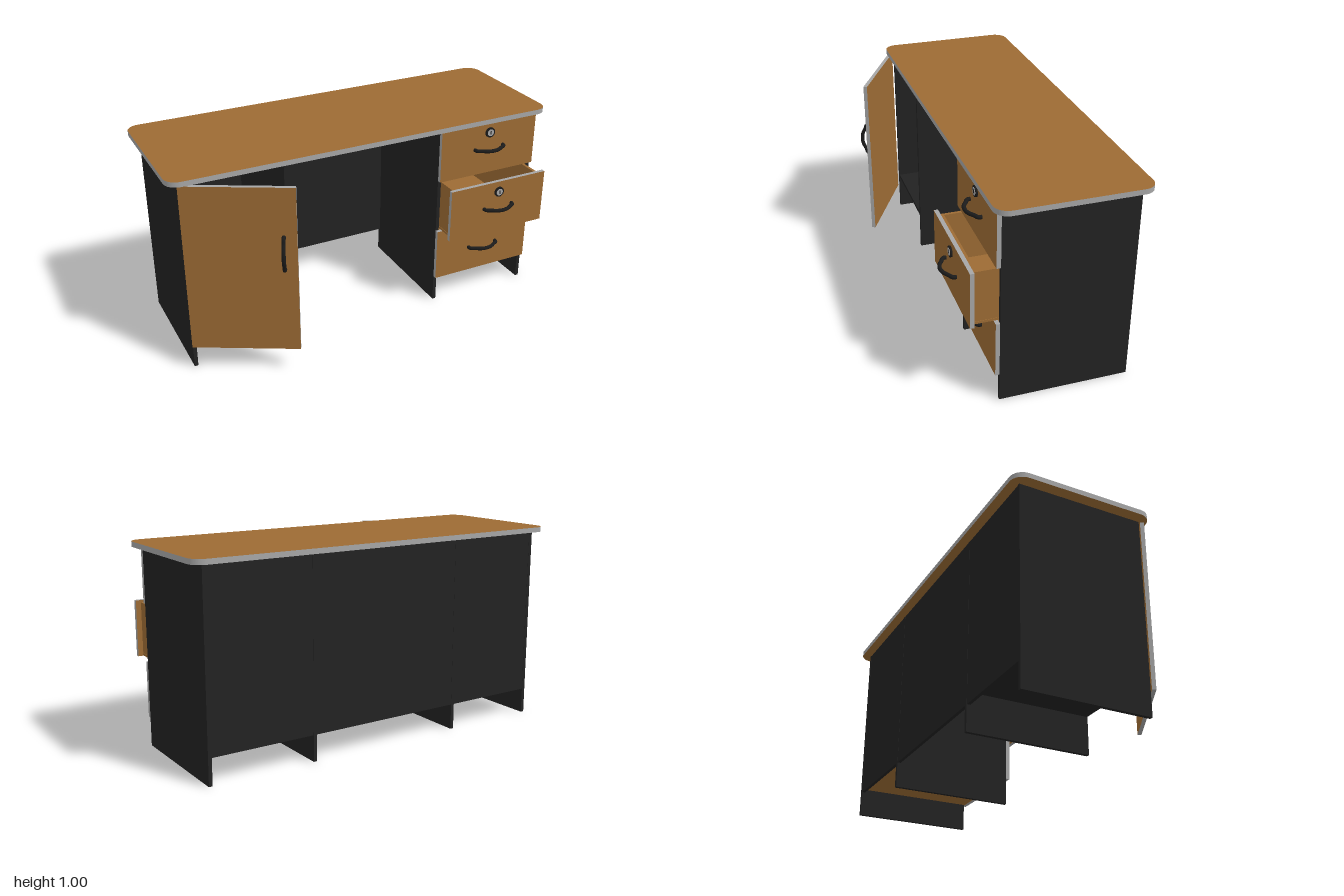
import * as THREE from 'three';

const mat = (name, color) => Object.assign(new THREE.MeshStandardMaterial({ color }), { name });

export function createModel() {
  const wood = mat('wood', 0x9c6b34);
  const black = mat('black panel', 0x222222);
  const grip = mat('black handle', 0x1b1b1b);
  const grey = mat('grey edge band', 0xa6a6a6);

  const desk = new THREE.Group();
  desk.name = 'desk';

  const add = (parent, name, geometry, material) => {
    const mesh = new THREE.Mesh(geometry, material);
    mesh.name = name;
    parent.add(mesh);
    return mesh;
  };
  // Box given by its minimum and maximum corners
  const box = (parent, name, material, x0, x1, y0, y1, z0, z1) => {
    const mesh = add(parent, name, new THREE.BoxGeometry(x1 - x0, y1 - y0, z1 - z0), material);
    mesh.position.set((x0 + x1) / 2, (y0 + y1) / 2, (z0 + z1) / 2);
    return mesh;
  };
  // Wooden faces with grey edge banding
  const banded = [grey, grey, grey, grey, wood, wood];

  // Bow handle along x, bulging to +z, feet on z = 0
  const handle = (parent, x, y, z, depth) => {
    const points = [[-0.083, -0.004], [-0.08, 0.016], [-0.06, 0.55 * depth], [-0.03, 0.9 * depth], [0, depth],
      [0.03, 0.9 * depth], [0.06, 0.55 * depth], [0.08, 0.016], [0.083, -0.004]];
    const curve = new THREE.CatmullRomCurve3(points.map(([px, pz]) => new THREE.Vector3(px, 0, pz)));
    const mesh = add(parent, 'handle', new THREE.TubeGeometry(curve, 32, 0.0095, 10), grip);
    mesh.position.set(x, y, z);
    return mesh;
  };

  // Tabletop with rounded corners
  const x = 1, z0 = -0.48, z1 = 0.23, r = 0.065;
  const outline = new THREE.Shape();
  outline.moveTo(-x + r, -z1);
  outline.lineTo(x - r, -z1);
  outline.absarc(x - r, -z1 + r, r, -Math.PI / 2, 0);
  outline.absarc(x - r, -z0 - r, r, 0, Math.PI / 2);
  outline.absarc(-x + r, -z0 - r, r, Math.PI / 2, Math.PI);
  outline.absarc(-x + r, -z1 + r, r, Math.PI, Math.PI * 1.5);
  const topGeometry = new THREE.ExtrudeGeometry(outline, { depth: 0.025, bevelEnabled: false, curveSegments: 10 });
  topGeometry.rotateX(-Math.PI / 2);
  add(desk, 'tabletop', topGeometry, [wood, grey]).position.y = 0.98;

  // Upright panels, back and cupboard floor
  for (const px of [-0.945, -0.445, 0.385, 0.924]) {
    box(desk, 'uprightPanel', black, px, px + 0.018, 0, 0.98, -0.435, 0.19);
  }
  box(desk, 'backPanel', black, -0.944, 0.941, 0.13, 0.979, -0.434, -0.417);
  box(desk, 'cupboardFloor', black, -0.927, -0.445, 0.19, 0.208, -0.417, 0.188);

  // Three drawers, the middle one pulled out
  [[0.142, 0, false], [0.423, 0.115, true], [0.704, 0, true]].forEach(([y, slide, locked]) => {
    const drawer = new THREE.Group();
    drawer.name = 'drawer';
    drawer.position.set(0, y, slide);
    desk.add(drawer);
    box(drawer, 'drawerFront', banded, 0.385, 0.942, 0, 0.277, 0.19, 0.21);
    box(drawer, 'drawerBottom', wood, 0.408, 0.919, 0.002, 0.014, -0.415, 0.19);
    for (const px of [0.41, 0.902]) box(drawer, 'drawerSide', wood, px, px + 0.015, 0.014, 0.266, -0.412, 0.19);
    box(drawer, 'drawerBack', wood, 0.425, 0.902, 0.014, 0.266, -0.412, -0.397);
    box(drawer, 'drawerInnerFront', wood, 0.425, 0.902, 0.014, 0.266, 0.172, 0.19);
    handle(drawer, 0.664, 0.14, 0.21, 0.051);
    if (!locked) return;

    // Round lock with a keyhole
    const disc = (name, radius, depth, material) => {
      const geometry = new THREE.CylinderGeometry(radius, radius, depth, 28).rotateX(Math.PI / 2);
      add(drawer, name, geometry, material).position.set(0.664, 0.222, 0.21 + depth / 2);
    };
    disc('lockRing', 0.026, 0.009, grip);
    disc('lockFace', 0.018, 0.011, grey);
    box(drawer, 'keyhole', grip, 0.661, 0.667, 0.213, 0.231, 0.215, 0.222);
  });

  // Cupboard door, standing open
  const door = new THREE.Group();
  door.name = 'door';
  door.position.set(-0.945, 0, 0.197);
  door.rotation.y = -0.487;
  desk.add(door);
  box(door, 'doorLeaf', banded, 0, 0.515, 0.13, 0.979, 0, 0.019);
  handle(door, 0.455, 0.653, 0.019, 0.042).rotation.z = Math.PI / 2;

  return desk;
}
